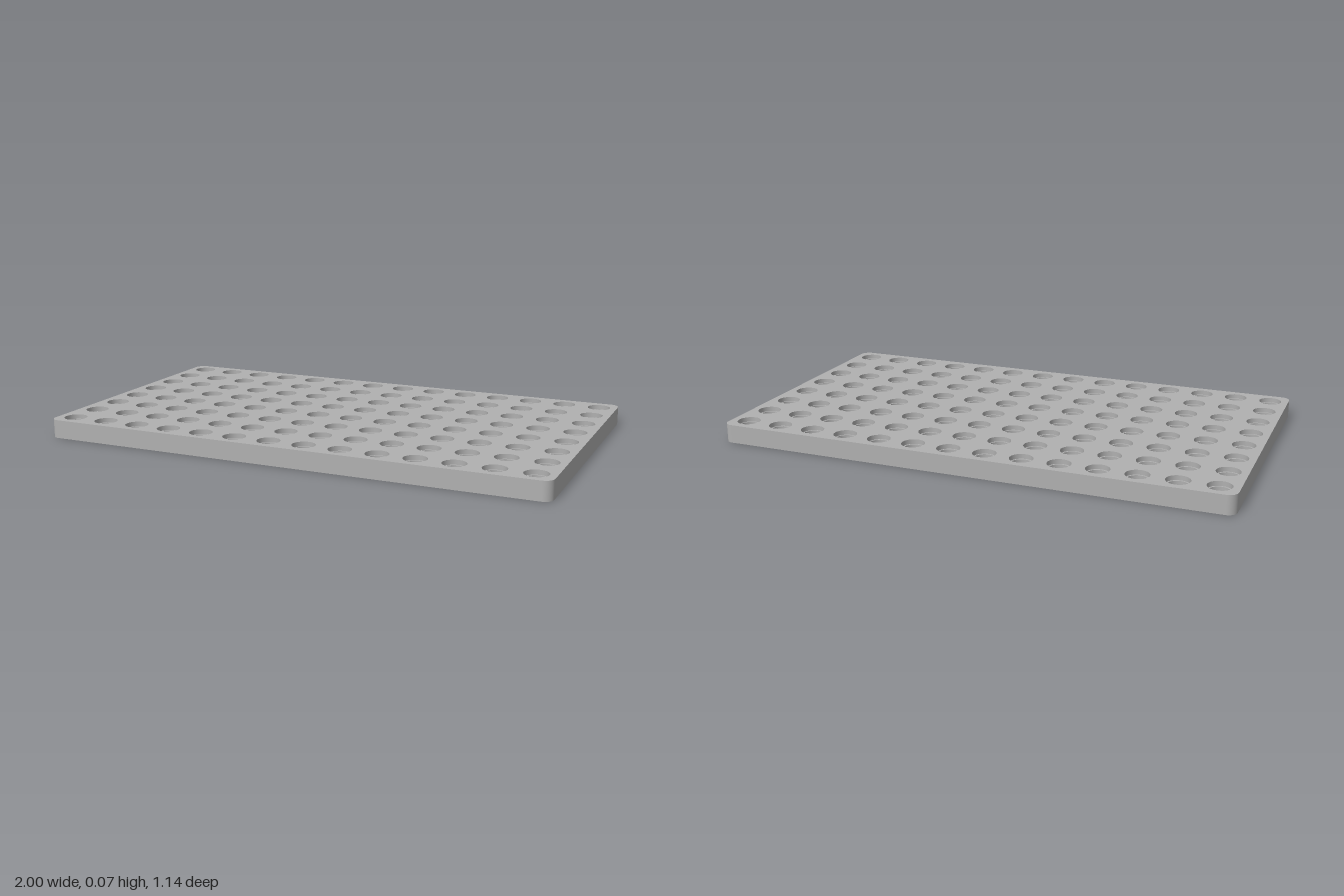
import * as THREE from 'three';
import { mergeGeometries } from 'three/addons/utils/BufferGeometryUtils.js';

const COLS = 14, ROWS = 8, PITCH = 2 / COLS;
const HALF_X = 1, HALF_Z = ROWS * PITCH / 2, HEIGHT = 0.072;
const CORNER = 0.036, CORNER_STEPS = 8;
const BORE = 0.038, RECESS = 0.0445, RECESS_DEPTH = 0.018, SIDES = 24;

// Rounded rectangle outline with its outward normals, anticlockwise
function outline() {
  const result = [];
  const centres = [[1, 1], [-1, 1], [-1, -1], [1, -1]];
  centres.forEach(([sx, sy], quarter) => {
    for (let i = 0; i <= CORNER_STEPS; i++) {
      const a = (quarter + i / CORNER_STEPS) * Math.PI / 2;
      const nx = Math.cos(a), ny = Math.sin(a);
      result.push({
        x: sx * (HALF_X - CORNER) + CORNER * nx,
        y: sy * (HALF_Z - CORNER) + CORNER * ny,
        nx, ny,
      });
    }
  });
  return result;
}

function holeCentres() {
  const list = [];
  for (let r = 0; r < ROWS; r++)
    for (let c = 0; c < COLS; c++)
      list.push([(c - (COLS - 1) / 2) * PITCH, (r - (ROWS - 1) / 2) * PITCH]);
  return list;
}

// Flat perforated face
function faceGeometry(points, centres) {
  const shape = new THREE.Shape(points.map(p => new THREE.Vector2(p.x, p.y)));
  for (const [x, y] of centres) {
    const ring = [];
    for (let i = 0; i < SIDES; i++) {
      const a = -i / SIDES * Math.PI * 2;
      ring.push(new THREE.Vector2(x + RECESS * Math.cos(a), y + RECESS * Math.sin(a)));
    }
    shape.holes.push(new THREE.Path(ring));
  }
  return new THREE.ShapeGeometry(shape);
}

// Outer wall with smooth rounded corners
function wallGeometry(points) {
  const pos = [], nor = [], index = [], n = points.length;
  points.forEach((p, i) => {
    for (const y of [0, HEIGHT]) {
      pos.push(p.x, y, -p.y);
      nor.push(p.nx, 0, -p.ny);
    }
    const a = 2 * i, b = 2 * ((i + 1) % n);
    index.push(a, b, b + 1, a, b + 1, a + 1);
  });
  const g = new THREE.BufferGeometry();
  g.setAttribute('position', new THREE.Float32BufferAttribute(pos, 3));
  g.setAttribute('normal', new THREE.Float32BufferAttribute(nor, 3));
  g.setIndex(index);
  return g;
}

// Through hole, recessed at both ends; one lathe per band keeps its edges sharp
function holeGeometry() {
  const profile = [
    [RECESS, HEIGHT], [RECESS, HEIGHT - RECESS_DEPTH], [BORE, HEIGHT - RECESS_DEPTH],
    [BORE, RECESS_DEPTH], [RECESS, RECESS_DEPTH], [RECESS, 0],
  ].map(([r, y]) => new THREE.Vector2(r, y));
  const bands = [];
  for (let i = 0; i < profile.length - 1; i++)
    bands.push(new THREE.LatheGeometry([profile[i], profile[i + 1]], SIDES));
  return mergeGeometries(bands);
}

export function createModel() {
  const grey = new THREE.MeshStandardMaterial({ color: 0xb0b0b0 });
  grey.name = 'light grey';
  const model = new THREE.Group();
  model.name = 'perforatedPlate';
  const add = (name, geometry) => {
    const mesh = new THREE.Mesh(geometry, grey);
    mesh.name = name;
    model.add(mesh);
    return mesh;
  };

  const points = outline(), centres = holeCentres();
  const face = faceGeometry(points, centres);
  const top = add('topFace', face);
  top.rotation.x = -Math.PI / 2;
  top.position.y = HEIGHT;
  add('bottomFace', face).rotation.x = Math.PI / 2;
  add('outerWall', wallGeometry(points));

  const hole = holeGeometry();
  add('holes', mergeGeometries(centres.map(([x, z]) => hole.clone().translate(x, 0, z))));
  return model;
}
